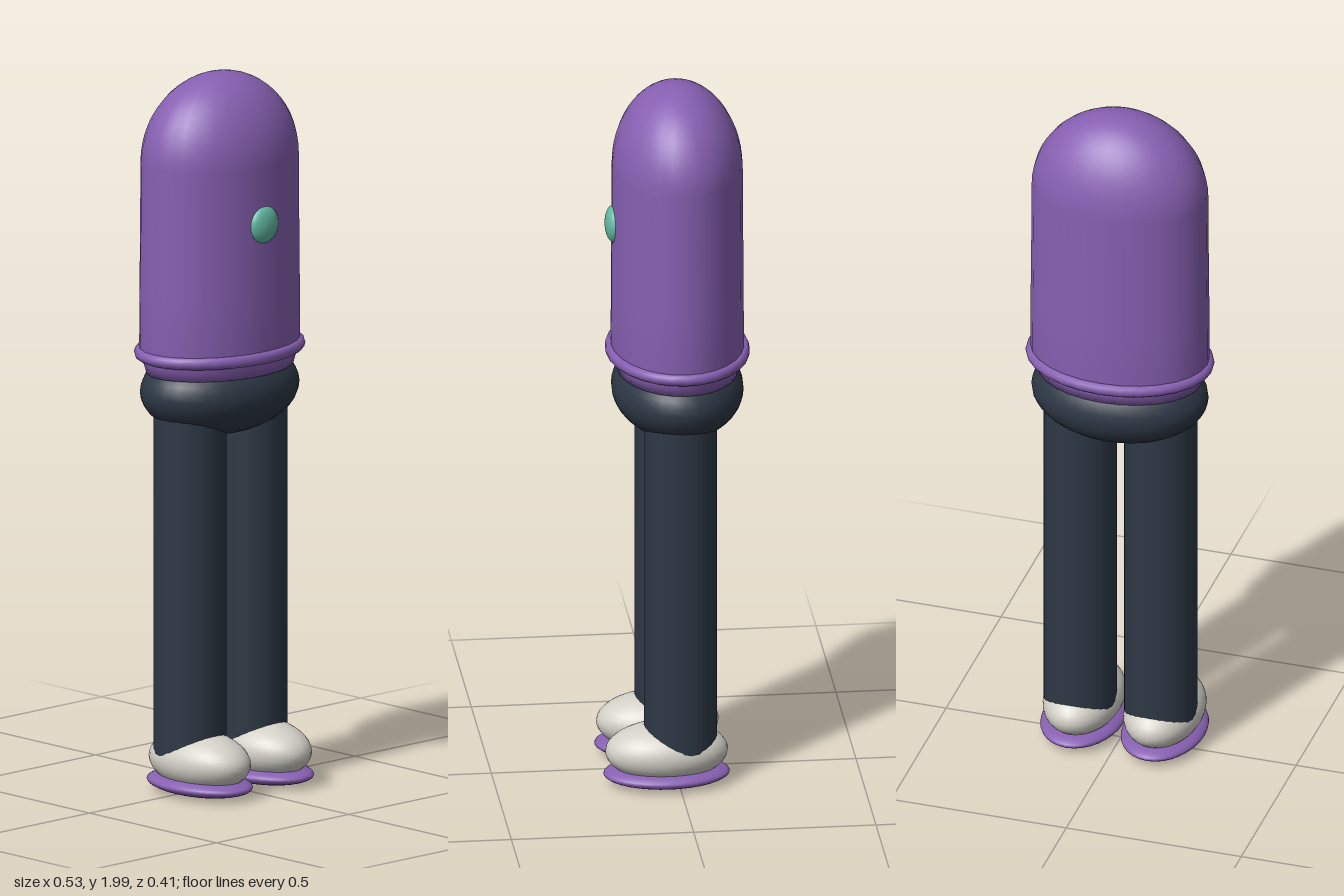
import * as THREE from 'three';

const material = (name, color) => {
  const m = new THREE.MeshStandardMaterial({ color });
  m.name = name;
  return m;
};

export function createModel() {
  const purple = material('purple', 0x8760b2);
  const navy = material('navy', 0x2d3845);
  const offWhite = material('offWhite', 0xd2cfc7);
  const teal = material('teal', 0x62b8a2);

  const model = new THREE.Group();
  const add = (name, geometry, mat, position, scale = [1, 1, 1]) => {
    const mesh = new THREE.Mesh(geometry, mat);
    mesh.name = name;
    mesh.position.set(...position);
    mesh.scale.set(...scale);
    model.add(mesh);
    return mesh;
  };
  const ball = new THREE.SphereGeometry(1, 32, 20);
  const centreZ = -0.01;
  const depth = 0.725; // the torso is an oval, narrower front to back

  // Torso: straight sides with a rounded dome on top
  const profile = [[0, 1.175], [0.229, 1.175], [0.237, 1.2], [0.25, 1.235], [0.249, 1.4], [0.247, 1.6]]
    .map(([x, y]) => new THREE.Vector2(x, y));
  for (let i = 0; i <= 14; i++) {
    const a = (i / 14) * Math.PI / 2;
    profile.push(new THREE.Vector2(0.246 * Math.cos(a), 1.76 + 0.24 * Math.sin(a)));
  }
  profile[profile.length - 1].x = 0;
  add('torso', new THREE.LatheGeometry(profile, 28), purple, [0, 0, centreZ], [1, 1, depth]);

  // Hem ring round the bottom of the torso
  const hem = new THREE.TorusGeometry(0.246, 0.017, 10, 28).rotateX(Math.PI / 2);
  add('hem', hem, purple, [0, 1.23, centreZ], [1, 1, 0.75]);

  // Chest button
  add('button', ball, teal, [0, 1.6, 0.164], [0.05, 0.052, 0.025]);

  // Hips
  add('hips', ball, navy, [0, 1.12, centreZ], [0.247, 0.128, 0.18]);

  // Legs, shoes and soles
  const legGeometry = new THREE.CylinderGeometry(0.1, 0.1, 1.02, 28);
  for (const [side, s] of [['left', 1], ['right', -1]]) {
    const x = s * 0.115;
    add(side + 'Leg', legGeometry, navy, [x, 0.61, -0.006]);
    add(side + 'Shoe', ball, offWhite, [x, 0.1, 0.032], [0.107, 0.081, 0.168]);
    add(side + 'Sole', ball, purple, [x, 0.036, 0.032], [0.114, 0.03, 0.173]);
  }

  return model;
}
